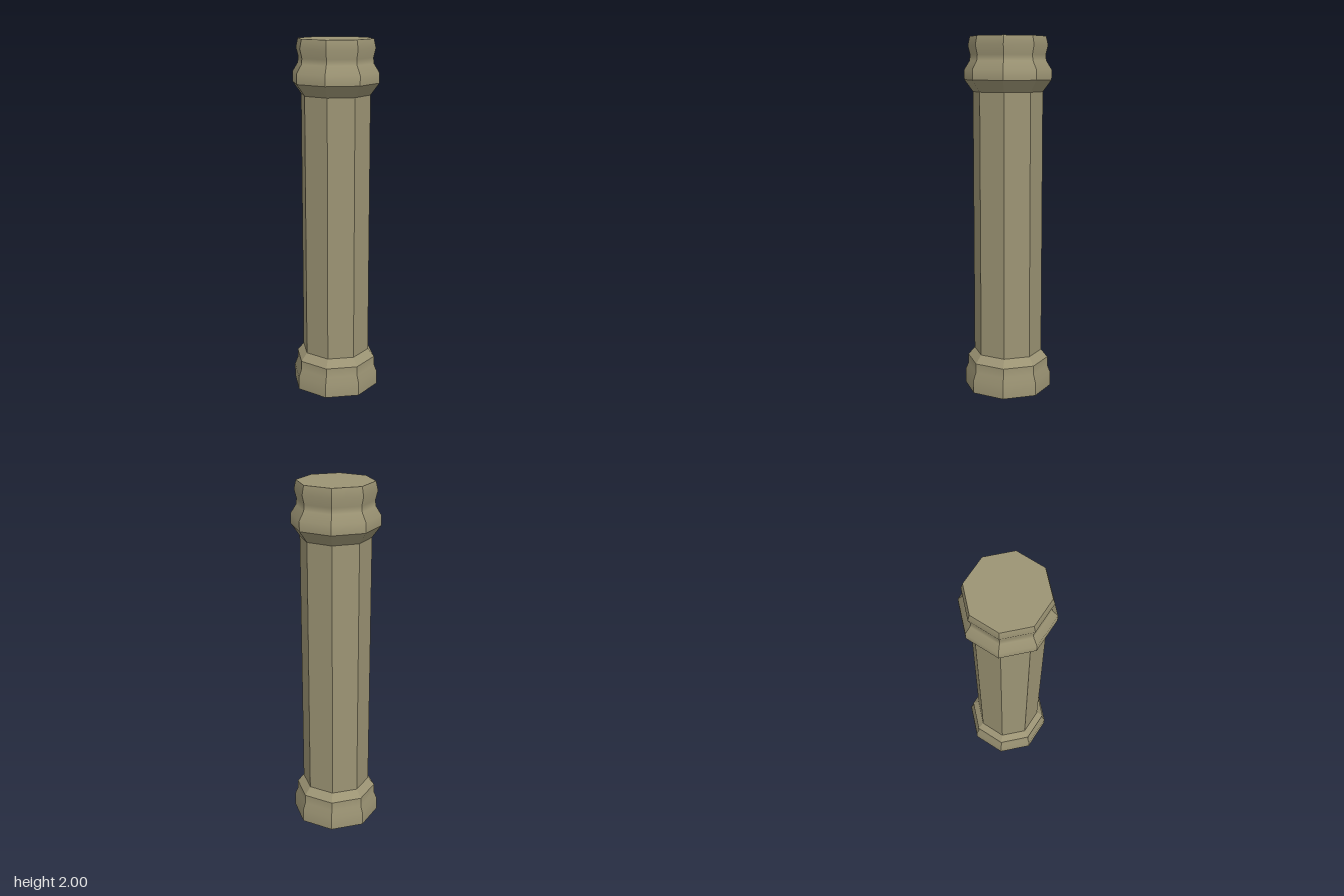
import * as THREE from 'three';
import { mergeGeometries } from 'three/addons/utils/BufferGeometryUtils.js';

const SIDES = 8;
const STEP = (Math.PI * 2) / SIDES;

// One octagonal band: sharp between the sides, smooth along the profile [radius, y] (bottom to top)
function octagonBand(profile) {
  const points = profile.map(([r, y]) => new THREE.Vector2(r, y));
  const n = points.length;
  const panels = [];
  for (let s = 0; s < SIDES; s++) {
    const panel = new THREE.LatheGeometry(points, 1, s * STEP, STEP);
    const normal = panel.attributes.normal;
    for (let i = 0; i < n; i++) {
      const a = new THREE.Vector3().fromBufferAttribute(normal, i);
      a.add(new THREE.Vector3().fromBufferAttribute(normal, i + n)).normalize();
      normal.setXYZ(i, a.x, a.y, a.z);
      normal.setXYZ(i + n, a.x, a.y, a.z);
    }
    panels.push(panel);
  }
  return mergeGeometries(panels);
}

export function createModel() {
  const group = new THREE.Group();
  group.name = 'column';
  const stone = new THREE.MeshStandardMaterial({ color: 0x9c9474 });

  const add = (name, geometry) => {
    const mesh = new THREE.Mesh(geometry, stone);
    mesh.name = name;
    group.add(mesh);
    return mesh;
  };

  // Bands split where the profile has a hard edge
  const bands = {
    base: [[0.25, 0], [0.25, 0.075], [0.233, 0.118], [0.232, 0.17]],
    baseBevel: [[0.232, 0.17], [0.195, 0.215]],
    shaft: [[0.195, 0.215], [0.195, 1.7]],
    capitalBevel: [[0.195, 1.7], [0.243, 1.765]],
    capital: [[0.243, 1.765], [0.243, 1.82], [0.213, 1.868], [0.209, 1.9], [0.222, 1.95], [0.211, 2]],
  };
  for (const [name, profile] of Object.entries(bands)) add(name, octagonBand(profile));

  // Flat ends
  const top = add('topFace', new THREE.CircleGeometry(0.211, SIDES));
  top.rotation.x = -Math.PI / 2;
  top.position.y = 2;
  const bottom = add('bottomFace', new THREE.CircleGeometry(0.25, SIDES));
  bottom.rotation.x = Math.PI / 2;

  return group;
}
